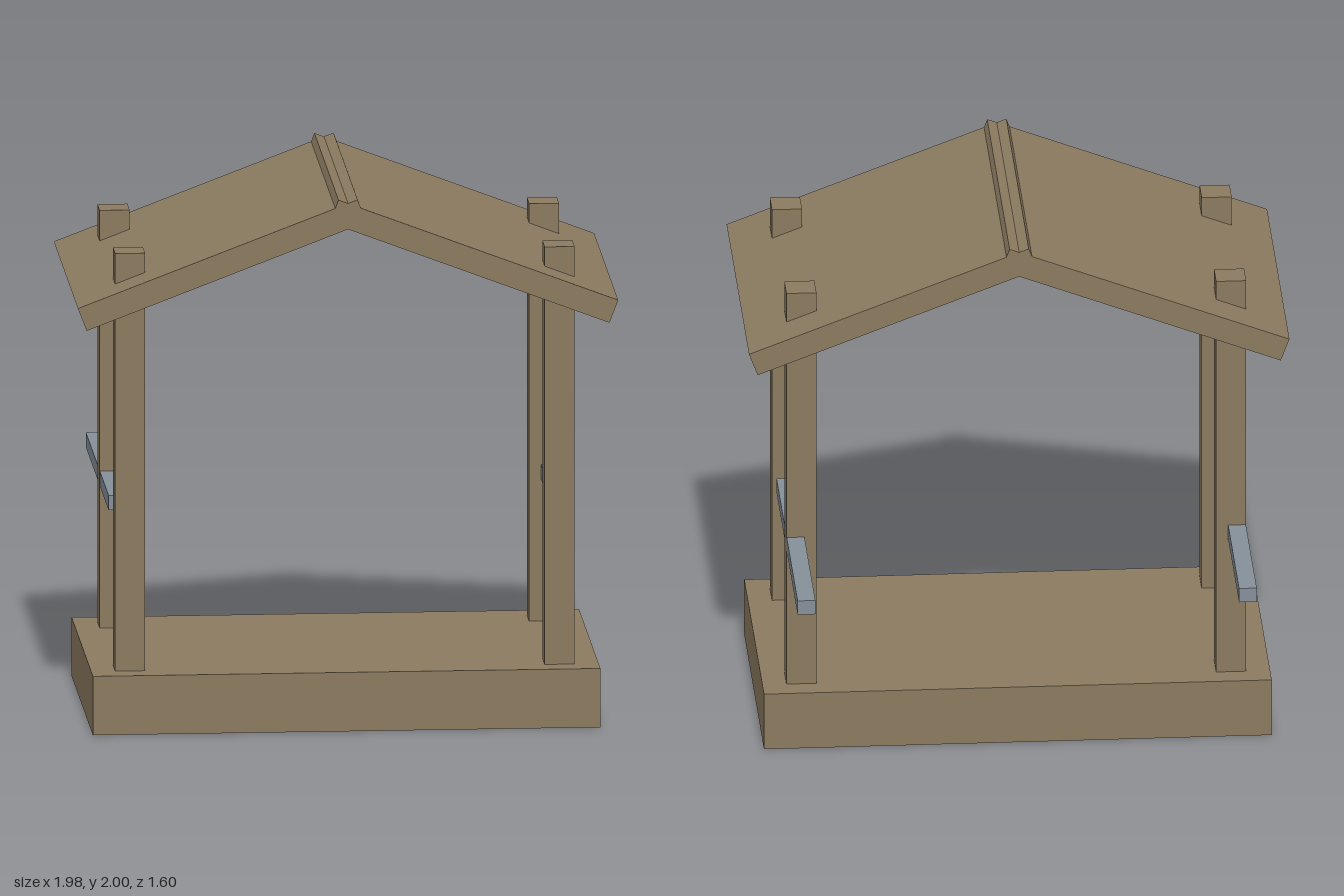
import * as THREE from 'three';

export function createModel() {
  const group = new THREE.Group();
  const wood = new THREE.MeshStandardMaterial({ color: 0x8b7a60 });
  wood.name = 'weathered wood';
  const metal = new THREE.MeshStandardMaterial({ color: 0x858f99 });
  metal.name = 'grey metal';

  const addBox = (name, size, position, material) => {
    const mesh = new THREE.Mesh(new THREE.BoxGeometry(...size), material);
    mesh.name = name;
    mesh.position.set(...position);
    group.add(mesh);
    return mesh;
  };

  // Solid floor block
  addBox('base', [1.86, 0.22, 1.04], [0, 0.11, 0.21], wood);

  // Roof slabs cross at the ridge, leaving a small notch along the top
  const pitch = Math.atan2(0.39, 1.025);
  const slabLength = Math.hypot(0.39, 1.025);
  const thickness = 0.09;

  for (const [side, s] of [['left', 1], ['right', -1]]) {
    // Posts run from the base up through the roof
    for (const [end, z] of [['front', 0.59], ['back', -0.17]]) {
      addBox(`${side} ${end} post`, [0.11, 1.57, 0.11], [s * 0.787, 0.995, z], wood);
    }

    // Handle rail set into the outer side of the back post
    addBox(`${side} handle`, [0.065, 0.055, 1.11], [s * 0.8085, 0.778, -0.245], metal);

    const slab = addBox(
      `${side} roof slab`,
      [slabLength, thickness, 1.18],
      [
        s * (0.4775 - Math.sin(pitch) * thickness / 2),
        1.805 - Math.cos(pitch) * thickness / 2,
        0.21,
      ],
      wood,
    );
    slab.rotation.z = -s * pitch;
  }

  return group;
}
